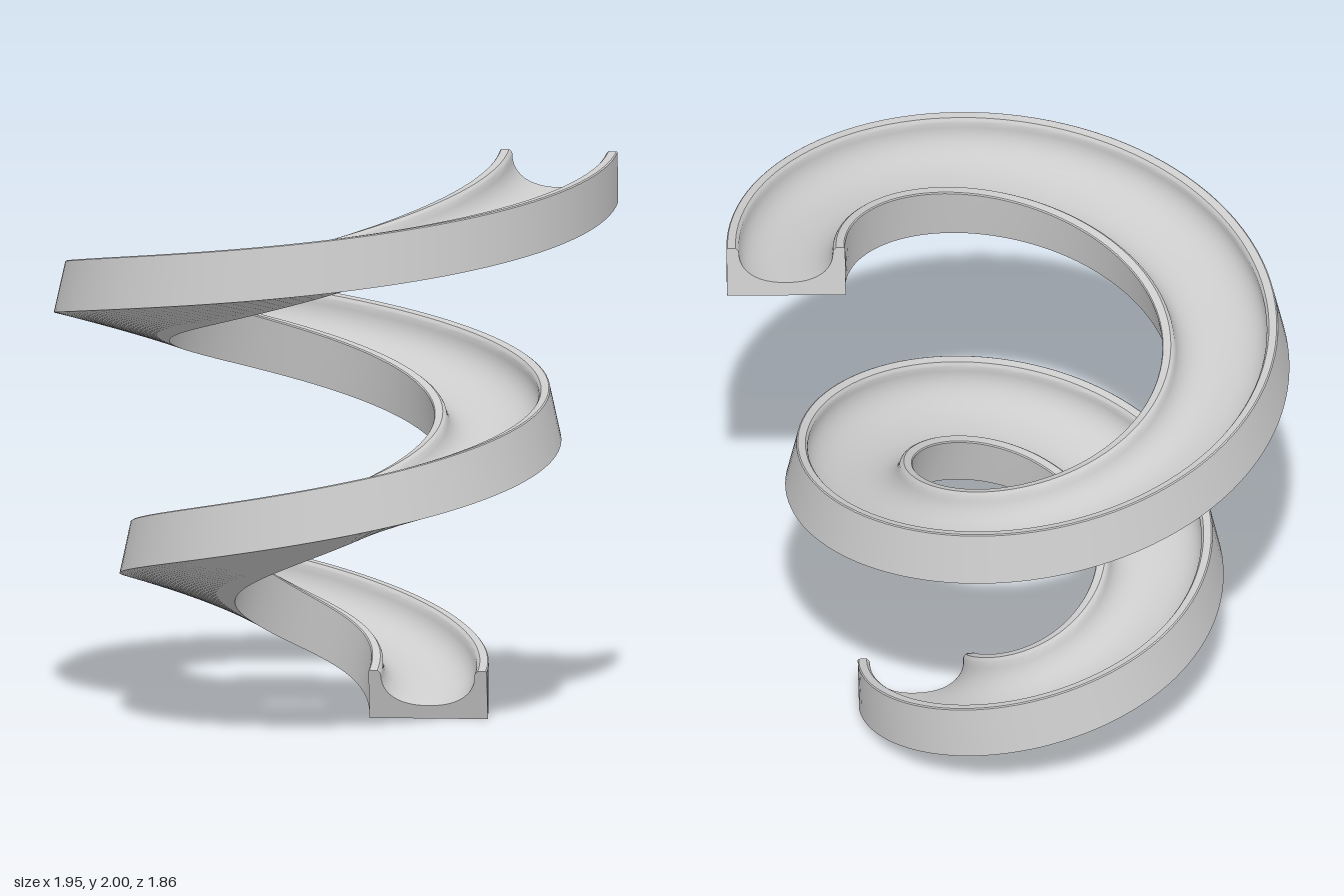
import * as THREE from 'three';
import { toCreasedNormals } from 'three/addons/utils/BufferGeometryUtils.js';

const TURNS = 2, STEPS = 224;
const CX = -0.045, CZ = -0.047;          // axis of the spiral
const R0 = 0.36, GROWTH = 0.2275;        // centre-line radius and its growth per turn
const Y0 = 0.128, PITCH = 0.911;         // start height and rise per turn

// Trough section: x = outward, y = up, counter-clockwise
function troughProfile() {
  const w = 0.205, top = 0.05, base = -0.135;
  const pts = [[-w, base], [w, base], [w, top - 0.004], [w - 0.004, top], [0.174, top], [0.166, 0.042]];
  const n = 24, e = 2 / 2.3;
  for (let i = 0; i <= n; i++) {
    const a = (i / n) * Math.PI, c = Math.cos(a);
    pts.push([0.163 * Math.sign(c) * Math.abs(c) ** e, 0.036 - 0.121 * Math.abs(Math.sin(a)) ** e]);
  }
  pts.push([-0.166, 0.042], [-0.174, top], [-w + 0.004, top], [-w, top - 0.004]);
  return pts.map(([x, y]) => new THREE.Vector2(x, y));
}

// Position and axes of the section after t turns
function frameAt(t) {
  const a = t * Math.PI * 2, r = R0 + GROWTH * t;
  const radial = new THREE.Vector3(Math.cos(a), 0, -Math.sin(a));
  const forward = new THREE.Vector3(-Math.sin(a), 0, -Math.cos(a));
  const origin = radial.clone().multiplyScalar(r).add(new THREE.Vector3(CX, Y0 + PITCH * t, CZ));
  const slope = Math.min(Math.atan(PITCH / (2 * Math.PI * r)), 0.33);
  const skew = 0.035 * t;
  // the trough banks inward, levelling out at both ends
  const bank = 0.23 * THREE.MathUtils.smoothstep(t, 0, 0.35) * THREE.MathUtils.smoothstep(TURNS - t, 0, 0.4);
  const side = radial.clone().multiplyScalar(Math.cos(skew)).addScaledVector(forward, -Math.sin(skew));
  const up = new THREE.Vector3(0, Math.cos(slope), 0).addScaledVector(forward, -Math.sin(slope));
  return {
    origin,
    u: side.clone().multiplyScalar(Math.cos(bank)).addScaledVector(up, Math.sin(bank)),
    v: up.clone().multiplyScalar(Math.cos(bank)).addScaledVector(side, -Math.sin(bank)),
  };
}

function sweep(profile) {
  const n = profile.length, pos = [], idx = [];
  for (let i = 0; i <= STEPS; i++) {
    const { origin, u, v } = frameAt((TURNS * i) / STEPS);
    for (const p of profile) {
      const q = origin.clone().addScaledVector(u, p.x).addScaledVector(v, p.y);
      pos.push(q.x, q.y, q.z);
    }
  }
  // skin
  for (let i = 0; i < STEPS; i++) {
    for (let j = 0; j < n; j++) {
      const k = (j + 1) % n;
      const a0 = i * n + j, b0 = i * n + k, a1 = a0 + n, b1 = b0 + n;
      idx.push(a0, b1, b0, a0, a1, b1);
    }
  }
  // end caps
  const last = STEPS * n;
  for (const [a, b, c] of THREE.ShapeUtils.triangulateShape(profile, [])) {
    idx.push(a, b, c, last + a, last + c, last + b);
  }
  const geo = new THREE.BufferGeometry();
  geo.setAttribute('position', new THREE.Float32BufferAttribute(pos, 3));
  geo.setIndex(idx);
  return toCreasedNormals(geo, 0.6);
}

export function createModel() {
  const group = new THREE.Group();
  group.name = 'spiralSlide';
  const trough = new THREE.Mesh(
    sweep(troughProfile()),
    new THREE.MeshStandardMaterial({ color: 0xcccccc })
  );
  trough.name = 'spiralTrough';
  group.add(trough);
  return group;
}
